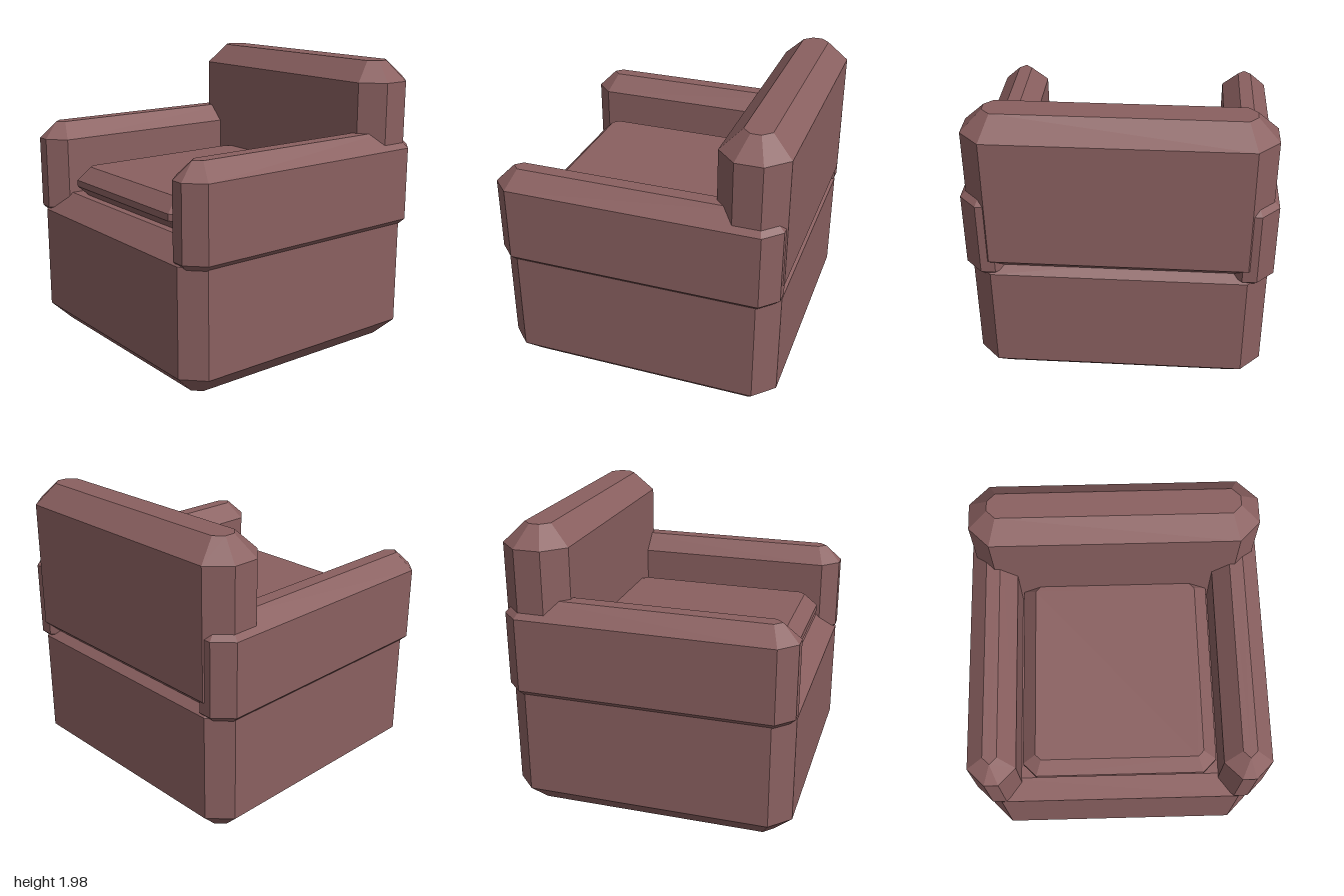
import * as THREE from 'three';
import { ConvexGeometry } from 'three/addons/geometries/ConvexGeometry.js';

const upholstery = new THREE.MeshStandardMaterial({ color: 0x8a6060 });
upholstery.name = 'dusty rose upholstery';

// Box with all edges chamfered: octagonal plan, inset evenly at top and bottom
function chamferedBlock(name, [x0, x1], [y0, y1], [z0, z1], bevel) {
  const points = [];
  const ring = (y, inset) => {
    const hx = (x1 - x0) / 2 - inset;
    const hz = (z1 - z0) / 2 - inset;
    const cut = bevel - inset * (2 - Math.SQRT2);
    for (const sx of [-1, 1]) {
      for (const sz of [-1, 1]) {
        points.push(new THREE.Vector3(sx * hx, y, sz * (hz - cut)));
        points.push(new THREE.Vector3(sx * (hx - cut), y, sz * hz));
      }
    }
  };
  const hy = (y1 - y0) / 2;
  ring(-hy, bevel);
  ring(-hy + bevel, 0);
  ring(hy - bevel, 0);
  ring(hy, bevel);
  const mesh = new THREE.Mesh(new ConvexGeometry(points), upholstery);
  mesh.name = name;
  mesh.position.set((x0 + x1) / 2, (y0 + y1) / 2, (z0 + z1) / 2);
  return mesh;
}

export function createModel() {
  const armchair = new THREE.Group();
  armchair.name = 'armchair';

  // Heavy base block and the loose cushion on it
  armchair.add(chamferedBlock('base', [-0.965, 0.965], [0, 1.0], [-0.96, 0.968], 0.135));
  armchair.add(chamferedBlock('seatCushion', [-0.66, 0.66], [0.98, 1.205], [-0.61, 0.85], 0.09));

  // Backrest
  armchair.add(chamferedBlock('backrest', [-0.965, 0.965], [0.84, 1.98], [-0.97, -0.52], 0.135));

  // Armrests, overhanging the base slightly
  armchair.add(chamferedBlock('leftArmrest', [0.68, 1.0], [0.775, 1.503], [-0.962, 0.97], 0.113));
  armchair.add(chamferedBlock('rightArmrest', [-1.0, -0.68], [0.775, 1.503], [-0.962, 0.97], 0.113));

  return armchair;
}
